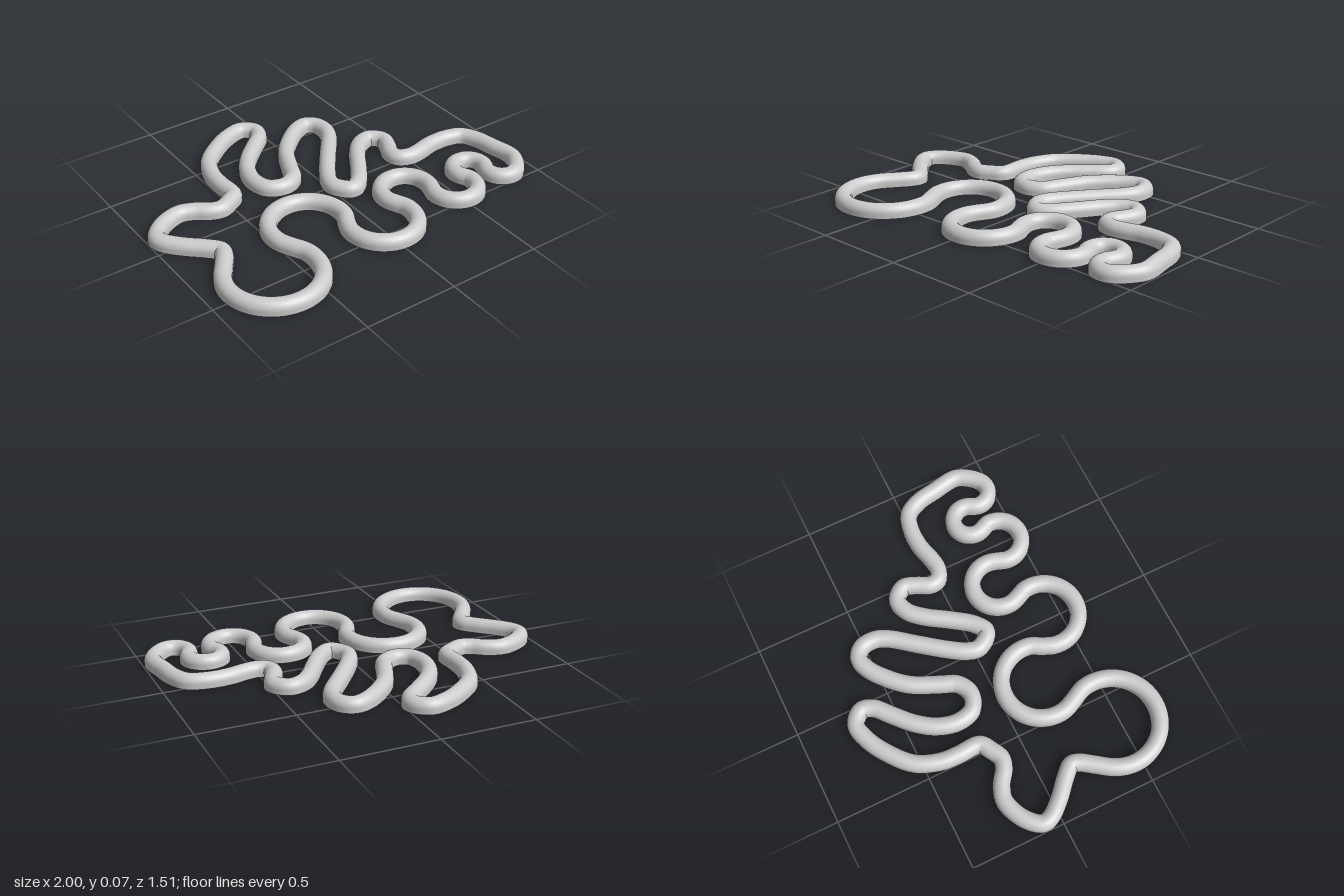
import * as THREE from 'three';

const HALF_WIDTH = 0.045, HEIGHT = 0.07, STEPS = 800;

// scalloped front edge: tangent circles [x, z, radius], bulging forward and backward in turn
const scallops = [
  [-0.65, 0.465, 0.235], [-0.29, 0.23, 0.198], [0.025, 0.42, 0.176], [0.29, 0.273, 0.131],
  [0.51, 0.396, 0.118], [0.687, 0.305, 0.086], [0.826, 0.396, 0.08],
];

// freehand remainder of the outline [x, z], from the right tip over the back to the left side
const backOutline = [
  [0.91, 0.425], [0.95, 0.35], [0.93, 0.21], [0.91, 0.11], [0.865, 0.03], [0.78, 0], [0.67, 0], [0.565, 0.025],
  [0.505, 0.03], [0.45, 0.005], [0.44, -0.045], [0.47, -0.11], [0.49, -0.18], [0.435, -0.24], [0.36, -0.22],
  [0.295, -0.155], [0.215, -0.035], [0.135, 0.07], [0.07, 0.105], [0.01, 0.03], [0.02, -0.03], [0.067, -0.11],
  [0.163, -0.24], [0.265, -0.375], [0.29, -0.44], [0.28, -0.515], [0.23, -0.555], [0.165, -0.54], [0.07, -0.47],
  [-0.015, -0.375], [-0.08, -0.24], [-0.12, -0.155], [-0.195, -0.118], [-0.275, -0.15], [-0.302, -0.24],
  [-0.275, -0.35], [-0.21, -0.445], [-0.12, -0.53], [-0.045, -0.6], [-0.03, -0.66], [-0.09, -0.715],
  [-0.185, -0.695], [-0.29, -0.635], [-0.4, -0.535], [-0.45, -0.41], [-0.457, -0.32], [-0.457, -0.195],
  [-0.505, -0.16], [-0.57, -0.13], [-0.625, -0.145], [-0.69, -0.19], [-0.77, -0.215], [-0.89, -0.17],
  [-0.955, -0.095], [-0.945, -0.045], [-0.88, 0.035], [-0.8, 0.11], [-0.75, 0.17], [-0.76, 0.21], [-0.8, 0.27],
];

function outlineCurve() {
  const points = [];
  const angleTo = (a, b) => Math.atan2(b[1] - a[1], b[0] - a[0]);
  scallops.forEach((c, i) => {
    const forward = i % 2 === 0, last = i === scallops.length - 1;
    let start = i === 0 ? 3.61 : angleTo(c, scallops[i - 1]);
    let end = last ? 0.87 : angleTo(c, scallops[i + 1]);
    if (forward && start < 0) start += Math.PI * 2;
    if (!forward) end += Math.PI * 2;
    const n = 12;
    // the joint between two circles is added once, by the later circle
    for (let k = 0; k < (last ? n + 1 : n); k++) {
      const a = start + (end - start) * k / n;
      points.push(new THREE.Vector3(c[0] + c[2] * Math.cos(a), 0, c[1] + c[2] * Math.sin(a)));
    }
  });
  backOutline.forEach(([x, z]) => points.push(new THREE.Vector3(x, 0, z)));
  const curve = new THREE.CatmullRomCurve3(points, true, 'centripetal');
  curve.arcLengthDivisions = 2000;
  return curve;
}

// upright walls with a round top, open underneath: [sideways, height]
function channelProfile() {
  const profile = [[-HALF_WIDTH, 0]];
  const n = 16;
  for (let k = 0; k <= n; k++) {
    const a = Math.PI * (1 - k / n);
    profile.push([HALF_WIDTH * Math.cos(a), HEIGHT - HALF_WIDTH + HALF_WIDTH * Math.sin(a)]);
  }
  profile.push([HALF_WIDTH, 0]);
  return profile;
}

// sweep the profile round the closed flat curve
function sweepChannel(curve, profile) {
  const positions = [], indices = [], m = profile.length;
  for (let i = 0; i < STEPS; i++) {
    const p = curve.getPointAt(i / STEPS), t = curve.getTangentAt(i / STEPS);
    for (const [w, y] of profile) positions.push(p.x - t.z * w, y, p.z + t.x * w);
    const next = (i + 1) % STEPS;
    for (let j = 0; j < m - 1; j++) {
      const a = i * m + j, b = next * m + j;
      indices.push(a, a + 1, b, a + 1, b + 1, b);
    }
  }
  const geometry = new THREE.BufferGeometry();
  geometry.setAttribute('position', new THREE.Float32BufferAttribute(positions, 3));
  geometry.setIndex(indices);
  geometry.computeVertexNormals();
  return geometry;
}

export function createModel() {
  const group = new THREE.Group();
  group.name = 'windingLoop';
  const material = new THREE.MeshStandardMaterial({ color: 0xcccccc, side: THREE.DoubleSide });
  const channel = new THREE.Mesh(sweepChannel(outlineCurve(), channelProfile()), material);
  channel.name = 'roundedChannel';
  group.add(channel);
  return group;
}
